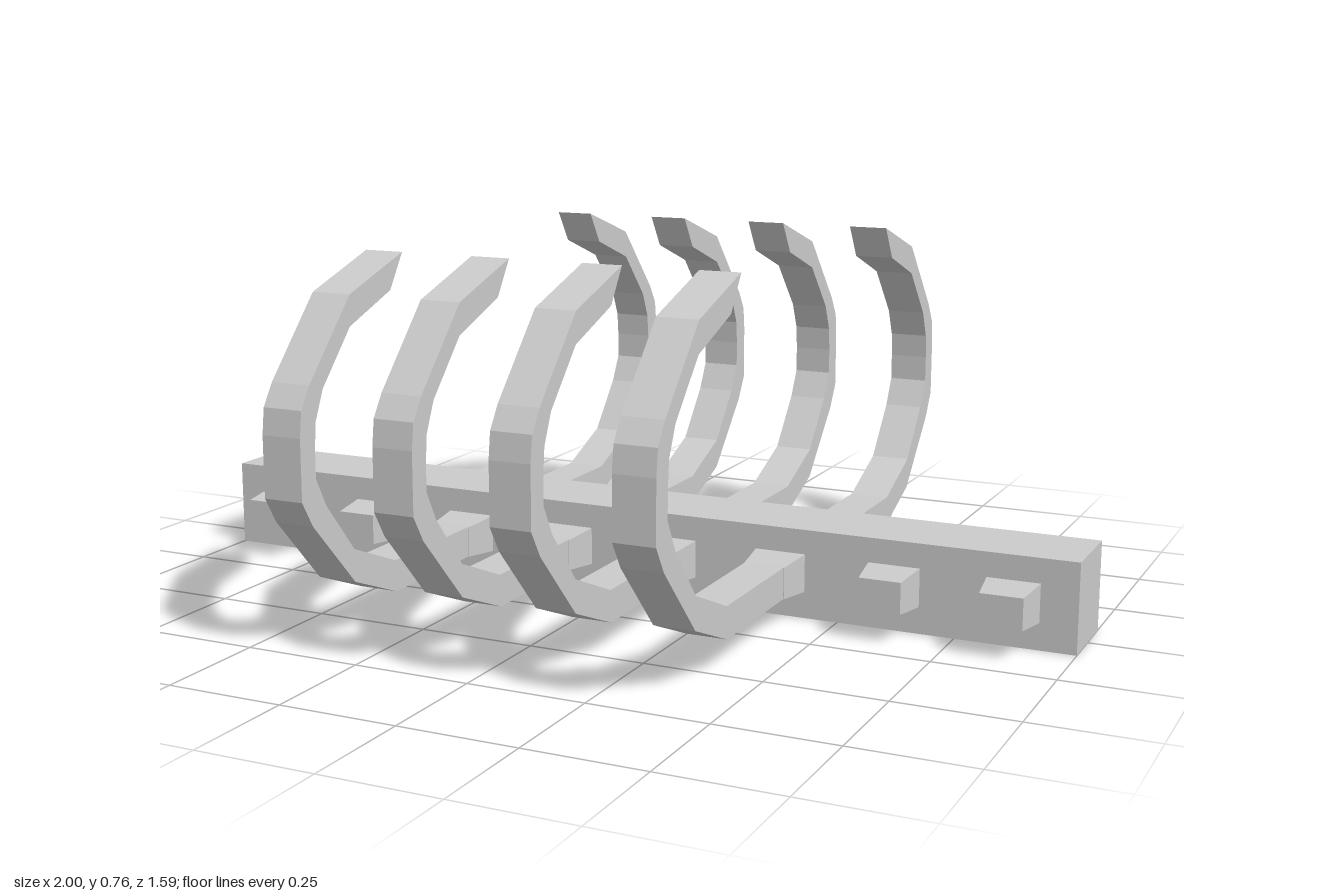
import * as THREE from 'three';

const material = new THREE.MeshStandardMaterial({ color: 0xcccccc, flatShading: true });

// Rib side outline as [z, y]: along the outside to the tip, back along the inside
const RIB = [
  [0.17, 0.064], [0.474, 0.064], [0.624, 0.124], [0.763, 0.271], [0.796, 0.325],
  [0.796, 0.45], [0.789, 0.503], [0.76, 0.547], [0.615, 0.703], [0.422, 0.765],
  [0.469, 0.693], [0.617, 0.64], [0.716, 0.533], [0.743, 0.473], [0.748, 0.42],
  [0.748, 0.362], [0.716, 0.302], [0.624, 0.192], [0.476, 0.131], [0.17, 0.131],
];
const RIB_WIDTH = 0.086;

// Extruded outline turned so that it lies in the z-y plane, centred on x = 0
function ribGeometry() {
  const shape = new THREE.Shape(RIB.map(([z, y]) => new THREE.Vector2(z, y)));
  const geo = new THREE.ExtrudeGeometry(shape, { depth: RIB_WIDTH, bevelEnabled: false });
  return geo.translate(0, 0, -RIB_WIDTH / 2).rotateY(-Math.PI / 2);
}

// Box tapered towards its outer (+z) end
function socketGeometry() {
  const geo = new THREE.BoxGeometry(0.112, 0.083, 0.1);
  const p = geo.attributes.position;
  for (let i = 0; i < p.count; i++) {
    if (p.getZ(i) > 0) p.setXY(i, p.getX(i) * 0.79, p.getY(i) * 0.8);
  }
  geo.computeVertexNormals();
  return geo.translate(0, 0.097, 0.131);
}

export function createModel() {
  const model = new THREE.Group();
  model.name = 'ribcage';

  const add = (parent, name, geo) => {
    const mesh = new THREE.Mesh(geo, material);
    mesh.name = name;
    parent.add(mesh);
    return mesh;
  };

  // Long square beam
  add(model, 'spine', new THREE.BoxGeometry(2, 0.19, 0.182).translate(0, 0.095, 0));

  // Eight sockets on each side; the middle four carry ribs
  const socket = socketGeometry();
  const rib = ribGeometry();
  for (const side of ['front', 'back']) {
    const half = new THREE.Group();
    half.name = side + 'Half';
    if (side === 'back') half.rotation.y = Math.PI;
    for (let i = 0; i < 8; i++) {
      const x = (i - 3.5) * 0.248;
      add(half, 'socket', socket).position.x = x;
      if (i >= 2 && i <= 5) add(half, 'rib', rib).position.x = x;
    }
    model.add(half);
  }
  return model;
}
